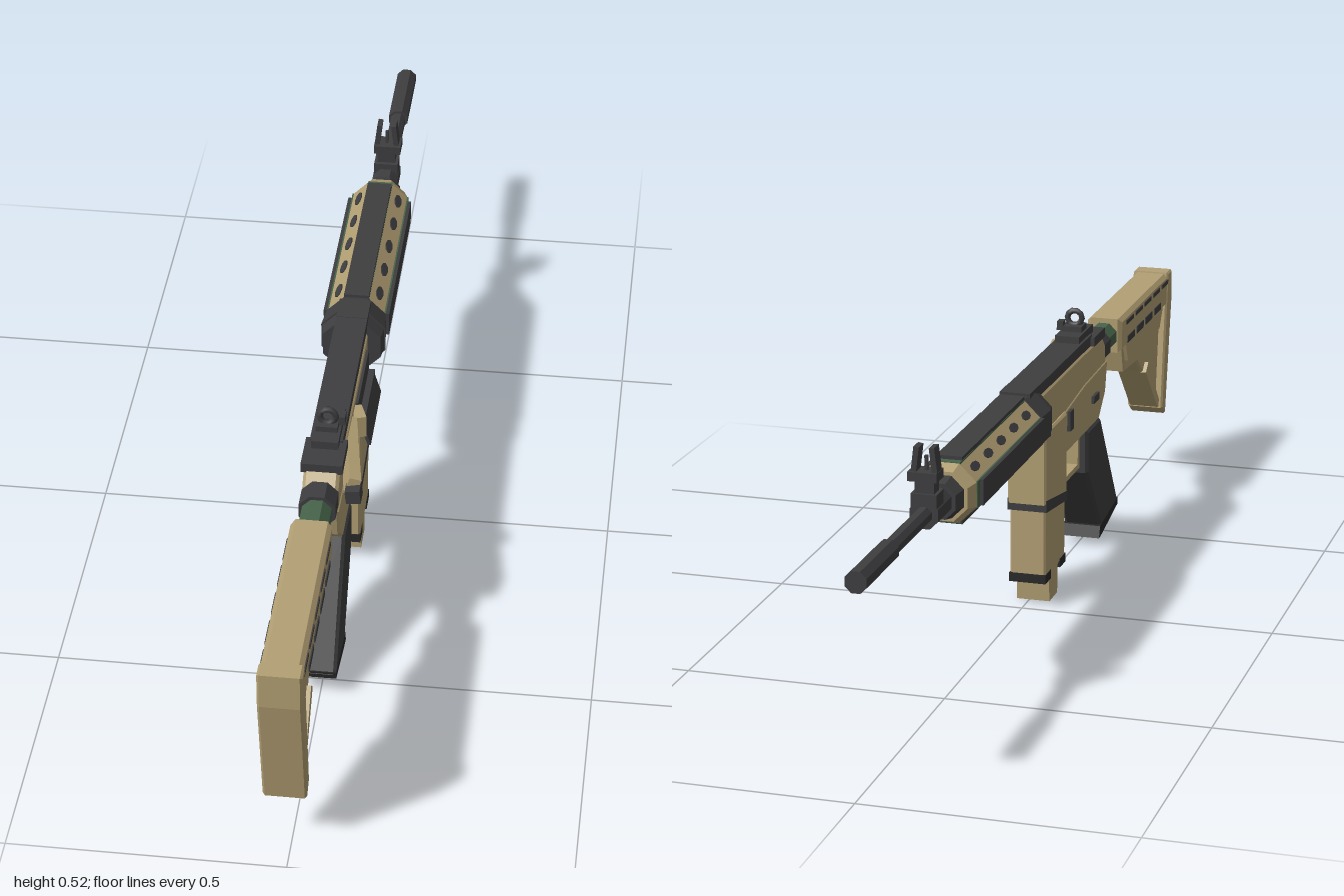
import * as THREE from 'three';

const paint = (name, color) => {
  const m = new THREE.MeshStandardMaterial({ color });
  m.name = name;
  return m;
};

export function createModel() {
  const tan = paint('tan', 0xb3a074);
  const dark = paint('charcoal', 0x3e3e40);
  const black = paint('black', 0x29292a);
  const green = paint('green', 0x47634a);

  const model = new THREE.Group();
  const body = new THREE.Group();
  body.name = 'body';
  body.position.x = -0.008; // centre line sits slightly to one side
  model.add(body);

  const add = (name, geo, mat, parent = body) => {
    const m = new THREE.Mesh(geo, mat);
    m.name = name;
    parent.add(m);
    return m;
  };
  // box from its ranges in x, y and z
  const box = (name, mat, [x0, x1], [y0, y1], [z0, z1], parent) => {
    const m = add(name, new THREE.BoxGeometry(x1 - x0, y1 - y0, z1 - z0), mat, parent);
    m.position.set((x0 + x1) / 2, (y0 + y1) / 2, (z0 + z1) / 2);
    return m;
  };
  // side outline of [z, y] points, extruded across x
  const slab = (name, mat, points, half, bevel = 0) => {
    const shape = new THREE.Shape(points.map(([z, y]) => new THREE.Vector2(z, y)));
    const geo = new THREE.ExtrudeGeometry(shape, {
      depth: 2 * (half - bevel), bevelEnabled: bevel > 0, bevelSize: bevel,
      bevelThickness: bevel, bevelOffset: -bevel, bevelSegments: 1,
    });
    geo.translate(0, 0, bevel - half).rotateY(-Math.PI / 2);
    return add(name, geo, mat);
  };
  // eight-sided prism along -z, from the rear z0 to the front z1
  const prism = (name, mat, r0, r1, z0, z1, y = 0.397) => {
    let geo = new THREE.CylinderGeometry(r1, r0, z0 - z1, 8);
    geo.rotateY(Math.PI / 8).rotateX(-Math.PI / 2);
    geo = geo.toNonIndexed();
    geo.computeVertexNormals();
    const m = add(name, geo, mat);
    m.position.set(0, y, (z0 + z1) / 2);
    return m;
  };

  // Stock
  slab('stockTube', tan, [[0.575, 0.365], [0.575, 0.437], [0.97, 0.437], [0.97, 0.365]], 0.037, 0.008);
  slab('stockWedge', tan, [[0.97, 0.37], [0.935, 0.14], [0.81, 0.257], [0.765, 0.294], [0.66, 0.3], [0.64, 0.37]], 0.023, 0.004);
  slab('stockLowerRail', tan, [[0.96, 0.37], [0.93, 0.325], [0.77, 0.315], [0.66, 0.325], [0.64, 0.37]], 0.03);
  slab('buttPlate', tan, [[1, 0.44], [1, 0.37], [0.955, 0.125], [0.925, 0.145], [0.955, 0.37], [0.965, 0.44]], 0.039, 0.004);
  slab('stockStrut', tan, [[0.945, 0.145], [0.915, 0.15], [0.81, 0.257], [0.83, 0.275]], 0.031);
  for (const s of [-1, 1]) {
    for (let i = 0; i < 5; i++) {
      const z = 0.615 + i * 0.075;
      box('stockUpperSlot', dark, [s * 0.037 - 0.002, s * 0.037 + 0.002], [0.416, 0.425], [z, z + 0.055]);
      if (i < 4) box('stockLowerSlot', dark, [s * 0.037 - 0.002, s * 0.037 + 0.002], [0.374, 0.389], [z + 0.01, z + 0.065]);
    }
  }

  // Pipe joining stock and receiver
  prism('stockPipe', green, 0.029, 0.029, 0.585, 0.47, 0.4);
  prism('stockNut', dark, 0.036, 0.036, 0.505, 0.46, 0.4);

  // Receiver
  slab('upperReceiver', tan, [[0.47, 0.36], [0.47, 0.41], [0.44, 0.44], [0.0, 0.44], [0.0, 0.35]], 0.033, 0.006);
  slab('lowerReceiver', tan, [[0.475, 0.38], [0.46, 0.315], [0.41, 0.27], [0.155, 0.27], [0.155, 0.36], [0.3, 0.375]], 0.035, 0.004);
  slab('magazineWell', tan, [[0.155, 0.36], [0.155, 0.187], [0.005, 0.213], [0.005, 0.36]], 0.039, 0.004);
  box('receiverRail', dark, [-0.03, 0.03], [0.438, 0.46], [-0.02, 0.37]);
  box('chargingHandle', dark, [-0.038, 0.038], [0.437, 0.456], [0.36, 0.44]);

  // Right side details
  box('ejectionPort', dark, [0.03, 0.038], [0.365, 0.42], [0.03, 0.2]);
  const cover = box('portCover', dark, [-0.003, 0.003], [-0.024, 0.024], [-0.085, 0.085]);
  cover.position.set(0.052, 0.347, 0.115);
  cover.rotation.z = 0.3;
  box('portHinge', dark, [0.03, 0.05], [0.362, 0.376], [0.03, 0.2]);
  const deflector = box('shellDeflector', tan, [0.03, 0.052], [0.375, 0.42], [0.205, 0.245]);
  deflector.rotation.y = 0.35;
  const assist = box('forwardAssist', tan, [-0.011, 0.011], [-0.018, 0.018], [-0.095, 0.095]);
  assist.position.set(0.041, 0.41, 0.345);
  assist.rotation.set(0, 0.16, -0.3);
  const cap = box('assistButton', dark, [0.045, 0.072], [0.387, 0.414], [0.425, 0.458]);
  cap.rotation.z = 0.1;

  // Left side details
  box('boltCatch', dark, [-0.042, -0.034], [0.315, 0.355], [0.17, 0.195]);
  box('selector', dark, [-0.041, -0.034], [0.32, 0.335], [0.35, 0.39]);

  // Grip and trigger
  slab('grip', dark, [[0.41, 0.275], [0.31, 0.275], [0.31, 0.185], [0.42, 0.035], [0.55, 0.055]], 0.039, 0.006);
  slab('gripBase', black, [[0.55, 0.06], [0.41, 0.04], [0.402, 0.016], [0.43, 0.02], [0.548, 0.045]], 0.039);
  slab('trigger', dark, [[0.265, 0.275], [0.245, 0.275], [0.228, 0.222], [0.238, 0.218]], 0.008);
  box('triggerGuard', tan, [-0.022, 0.022], [0.196, 0.207], [0.155, 0.315]);
  box('guardPost', tan, [-0.022, 0.022], [0.2, 0.275], [0.155, 0.167]);
  box('guardRear', tan, [-0.022, 0.022], [0.2, 0.275], [0.296, 0.312]);

  // Magazine
  slab('magazineBand', dark, [[0.156, 0.197], [0.156, 0.178], [0.008, 0.198], [0.008, 0.222]], 0.0395);
  slab('magazine', tan, [[0.152, 0.19], [0.152, 0.06], [0.012, 0.06], [0.012, 0.21]], 0.036, 0.004);
  box('magazineLipRear', black, [-0.037, 0.037], [0.05, 0.068], [0.115, 0.154]);
  box('magazineLipFront', black, [-0.037, 0.037], [0.05, 0.068], [0.01, 0.05]);
  slab('magazineFoot', tan, [[0.112, 0.065], [0.108, 0], [0.052, 0], [0.048, 0.065]], 0.033);

  // Handguard with four rails and slotted slanted faces
  prism('ringRear', dark, 0.06, 0.064, -0.012, -0.04);
  prism('ringFront', dark, 0.067, 0.062, -0.04, -0.09);
  box('ringTop', dark, [-0.03, 0.03], [0.44, 0.461], [-0.075, -0.015]);
  prism('handguard', tan, 0.06, 0.06, -0.085, -0.5);
  prism('handguardNose', tan, 0.06, 0.05, -0.5, -0.525);
  for (let k = 0; k < 4; k++) {
    const side = new THREE.Group();
    side.name = 'handguardSide';
    side.position.y = 0.397;
    side.rotation.z = k * Math.PI / 2;
    body.add(side);
    box('railBase', green, [-0.0245, 0.0245], [0.05, 0.0568], [-0.5, -0.092], side);
    box('rail', dark, [-0.024, 0.024], [0.0568, 0.0635], [-0.485, -0.09], side);
    const slant = new THREE.Group();
    slant.name = 'slantedFace';
    slant.rotation.z = Math.PI / 4;
    side.add(slant);
    for (let i = 0; i < 5; i++) {
      const slot = add('slot', new THREE.CylinderGeometry(1, 1, 0.004, 8), dark, slant);
      slot.scale.set(0.009, 1, 0.021);
      slot.position.set(0, 0.0555, -0.135 - i * 0.081);
    }
  }

  // Barrel
  prism('handguardCap', dark, 0.044, 0.036, -0.52, -0.555);
  prism('gasBlock', dark, 0.028, 0.028, -0.55, -0.635);
  prism('barrel', dark, 0.016, 0.016, -0.63, -0.84);
  prism('muzzle', dark, 0.021, 0.021, -0.83, -1);

  // Front sight
  box('frontSightBase', dark, [-0.024, 0.024], [0.4, 0.435], [-0.635, -0.595]);
  box('frontSightStem', dark, [-0.018, 0.018], [0.43, 0.475], [-0.63, -0.603]);
  box('frontSightStep', dark, [-0.025, 0.029], [0.458, 0.475], [-0.638, -0.598]);
  box('frontSightPost', dark, [-0.003, 0.003], [0.47, 0.502], [-0.62, -0.614]);
  for (const s of [-1, 1]) {
    const ear = box('frontSightEar', dark, [s * 0.017 - 0.005, s * 0.017 + 0.005], [0.47, 0.52], [-0.632, -0.605]);
    ear.rotation.z = s * 0.12;
  }

  // Rear sight
  box('rearSightBase', dark, [-0.025, 0.025], [0.458, 0.474], [0.29, 0.395]);
  box('rearSightBlock', dark, [-0.02, 0.02], [0.47, 0.485], [0.325, 0.365]);
  box('rearSightKnob', dark, [0.018, 0.031], [0.476, 0.494], [0.325, 0.345]);
  const ring = add('rearSightRing', new THREE.TorusGeometry(0.015, 0.006, 6, 10), dark);
  ring.position.set(0, 0.498, 0.348);

  return model;
}
